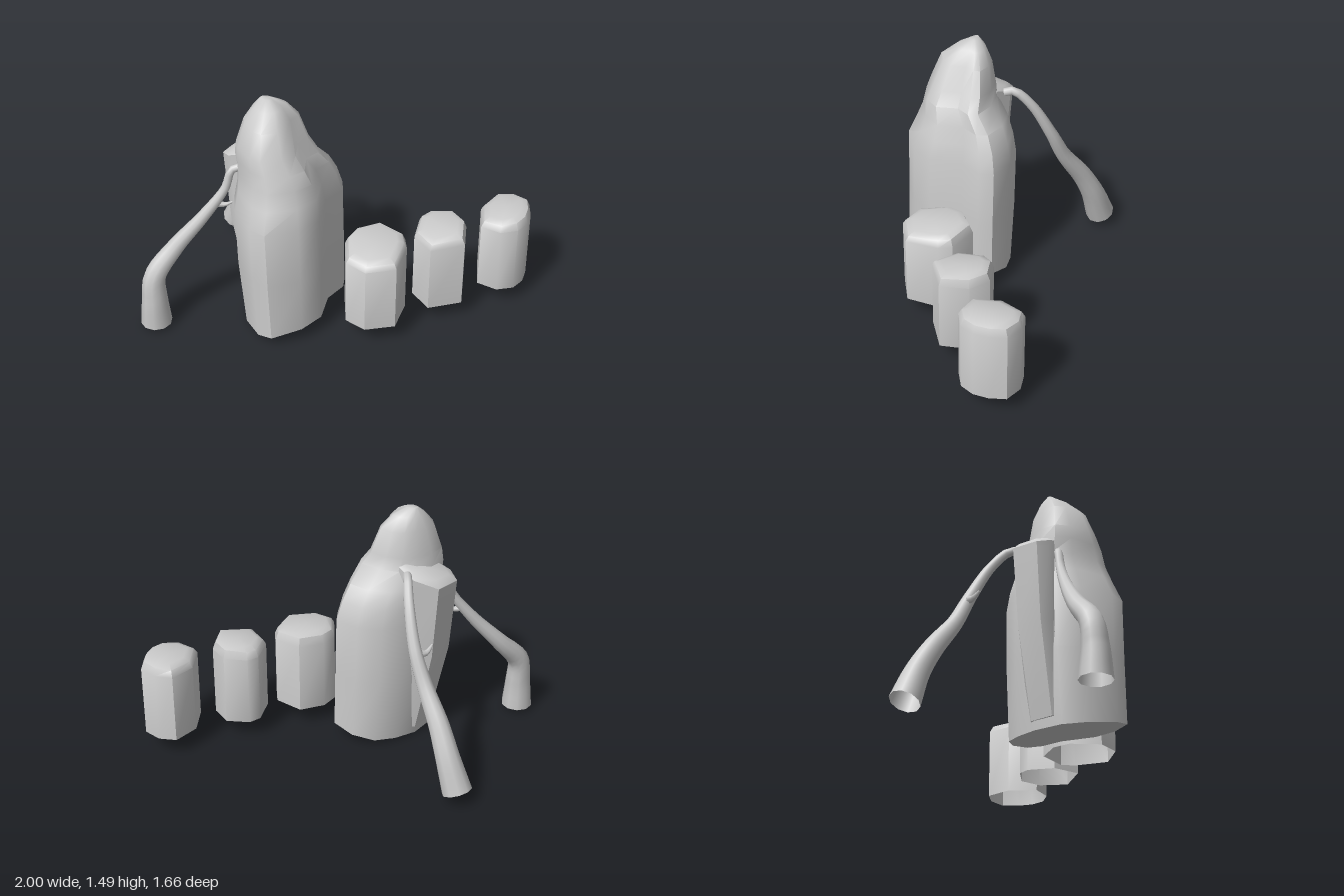
import * as THREE from 'three';
import { toCreasedNormals } from 'three/addons/utils/BufferGeometryUtils.js';

const material = new THREE.MeshStandardMaterial({ color: 0xcccccc, side: THREE.DoubleSide });

// Lofts an outline of [x, z] points through levels of
// [y, xMin, xMax, zMin, zMax, slopeX, slopeZ], stretching it to each level's box.
function loft(name, outline, levels, closedBottom, crease) {
  const n = outline.length;
  const box = new THREE.Box2().setFromPoints(outline.map(([x, z]) => new THREE.Vector2(x, z)));
  const positions = [], index = [];
  const { lerp, inverseLerp } = THREE.MathUtils;
  const center = ([y, x0, x1, z0, z1]) => [(x0 + x1) / 2, y, (z0 + z1) / 2];
  for (const level of levels) {
    const [y, x0, x1, z0, z1, slopeX = 0, slopeZ = 0] = level;
    const [cx, , cz] = center(level);
    for (const [px, pz] of outline) {
      const x = lerp(x0, x1, inverseLerp(box.min.x, box.max.x, px));
      const z = lerp(z0, z1, inverseLerp(box.min.y, box.max.y, pz));
      positions.push(x, y + slopeX * (x - cx) + slopeZ * (z - cz), z);
    }
  }
  for (let i = 0; i < levels.length - 1; i++) {
    for (let j = 0; j < n; j++) {
      const k = (j + 1) % n;
      const a = i * n + j, b = i * n + k, c = b + n, d = a + n;
      index.push(a, b, c, a, c, d);
    }
  }
  // Fan caps
  const top = (levels.length - 1) * n, topCenter = levels.length * n;
  positions.push(...center(levels[levels.length - 1]), ...center(levels[0]));
  for (let j = 0; j < n; j++) {
    const k = (j + 1) % n;
    index.push(top + j, top + k, topCenter);
    if (closedBottom) index.push(k, j, topCenter + 1);
  }
  const geometry = new THREE.BufferGeometry();
  geometry.setAttribute('position', new THREE.Float32BufferAttribute(positions, 3));
  geometry.setIndex(index);
  const mesh = new THREE.Mesh(toCreasedNormals(geometry, crease), material);
  mesh.name = name;
  return mesh;
}

// Open tube whose radius follows a list spaced evenly along its path
function taperedTube(name, points, radii, segments = 28, sides = 10) {
  const curve = new THREE.CatmullRomCurve3(points.map(p => new THREE.Vector3(...p)), false, 'centripetal');
  const geometry = new THREE.TubeGeometry(curve, segments, 1, sides, false);
  const pos = geometry.attributes.position, v = new THREE.Vector3();
  for (let i = 0; i <= segments; i++) {
    const center = curve.getPointAt(i / segments);
    const t = (i / segments) * (radii.length - 1);
    const k = Math.min(Math.floor(t), radii.length - 2);
    const radius = THREE.MathUtils.lerp(radii[k], radii[k + 1], t - k);
    for (let j = 0; j <= sides; j++) {
      const id = i * (sides + 1) + j;
      v.fromBufferAttribute(pos, id).sub(center).multiplyScalar(radius).add(center);
      pos.setXYZ(id, v.x, v.y, v.z);
    }
  }
  const mesh = new THREE.Mesh(geometry, material);
  mesh.name = name;
  return mesh;
}

// Upright stone with an open base and a worn, tilted crown
function stone(name, outline, slopeX, slopeZ) {
  const xs = outline.map(p => p[0]), zs = outline.map(p => p[1]);
  const x0 = Math.min(...xs), x1 = Math.max(...xs), z0 = Math.min(...zs), z1 = Math.max(...zs);
  const level = (y, inset, tilt = 0) =>
    [y, x0 + inset, x1 - inset, z0 + inset, z1 - inset, slopeX * tilt, slopeZ * tilt];
  return loft(name, outline,
    [level(0.12, 0), level(0.555, 0, 0.4), level(0.595, 0.02, 1), level(0.612, 0.06, 1)], false, 0.75);
}

export function createModel() {
  const model = new THREE.Group();

  // Tall standing rock with a slanted base and a shouldered peak
  const rockOutline = [
    [0.10, 0.28], [0.03, 0.09], [0.06, -0.05], [0.02, -0.13], [-0.13, -0.15], [-0.27, -0.10],
    [-0.36, 0.01], [-0.43, 0.15], [-0.45, 0.33], [-0.37, 0.45], [-0.2, 0.56], [-0.09, 0.57], [0.05, 0.43],
  ];
  model.add(loft('standingRock', rockOutline, [
    [0.055, -0.40, 0.10, -0.14, 0.57, 0.21],
    [0.45, -0.45, 0.10, -0.14, 0.57],
    [0.82, -0.46, 0.09, -0.14, 0.57],
    [0.94, -0.45, 0.06, -0.11, 0.52],
    [1.04, -0.45, 0.03, -0.06, 0.485],
    [1.14, -0.45, 0.00, 0.03, 0.47],
    [1.22, -0.44, -0.06, 0.05, 0.455],
    [1.37, -0.40, -0.12, 0.08, 0.40],
    [1.45, -0.36, -0.19, 0.13, 0.31],
    [1.49, -0.33, -0.26, 0.19, 0.24],
  ], true, 0.8));

  // Slab leaning against the rock
  const slabOutline = [[-0.28, 0.2], [-0.3, 0.06], [-0.4, 0.03], [-0.54, 0.1], [-0.57, 0.27], [-0.5, 0.32], [-0.35, 0.31]];
  model.add(loft('sideSlab', slabOutline, [
    [0.06, -0.41, -0.22, 0.08, 0.32],
    [0.6, -0.53, -0.25, 0.05, 0.32],
    [1.12, -0.57, -0.28, 0.03, 0.32, 0.4],
    [1.15, -0.53, -0.30, 0.07, 0.28, 0.4],
  ], true, 0.7));

  // Row of three short stones
  model.add(
    stone('nearStone', [
      [0.53, 0.15], [0.49, -0.05], [0.44, -0.12], [0.26, -0.14], [0.16, -0.02], [0.15, 0.09], [0.25, 0.25], [0.39, 0.27],
    ], -0.06, -0.09),
    stone('middleStone', [
      [0.77, -0.25], [0.7, -0.41], [0.58, -0.47], [0.45, -0.41], [0.42, -0.34], [0.47, -0.18], [0.62, -0.1],
    ], 0.04, -0.1),
    stone('farStone', [
      [1.0, -0.63], [0.98, -0.72], [0.93, -0.81], [0.82, -0.83], [0.72, -0.79], [0.69, -0.63], [0.77, -0.47], [0.9, -0.47], [0.98, -0.54],
    ], 0.06, -0.05),
  );

  // Two props, thin where they meet the rock and flared at the foot
  model.add(
    taperedTube('frontRoot', [
      [-0.42, 1.04, 0.32], [-0.46, 1.02, 0.35], [-0.49, 0.9, 0.38], [-0.59, 0.72, 0.47],
      [-0.72, 0.52, 0.6], [-0.79, 0.36, 0.72], [-0.79, 0.2, 0.74], [-0.79, 0.03, 0.74],
    ], [0.022, 0.027, 0.037, 0.048, 0.062, 0.075, 0.095]),
    taperedTube('backRoot', [
      [-0.36, 1.14, 0.05], [-0.39, 1.15, 0.0], [-0.45, 1.05, -0.09], [-0.54, 0.83, -0.18],
      [-0.63, 0.64, -0.22], [-0.76, 0.44, -0.28], [-0.84, 0.28, -0.32], [-0.92, 0.08, -0.34],
    ], [0.025, 0.03, 0.037, 0.046, 0.06, 0.072, 0.09]),
  );

  // Broken twig stubs on the roots
  model.add(
    taperedTube('frontTwig', [[-0.54, 0.8, 0.42], [-0.49, 0.79, 0.39], [-0.45, 0.81, 0.37]], [0.025, 0.016, 0.006], 6, 6),
    taperedTube('backTwig', [[-0.56, 0.8, -0.19], [-0.59, 0.79, -0.13], [-0.6, 0.82, -0.08]], [0.028, 0.018, 0.006], 6, 6),
  );

  return model;
}
